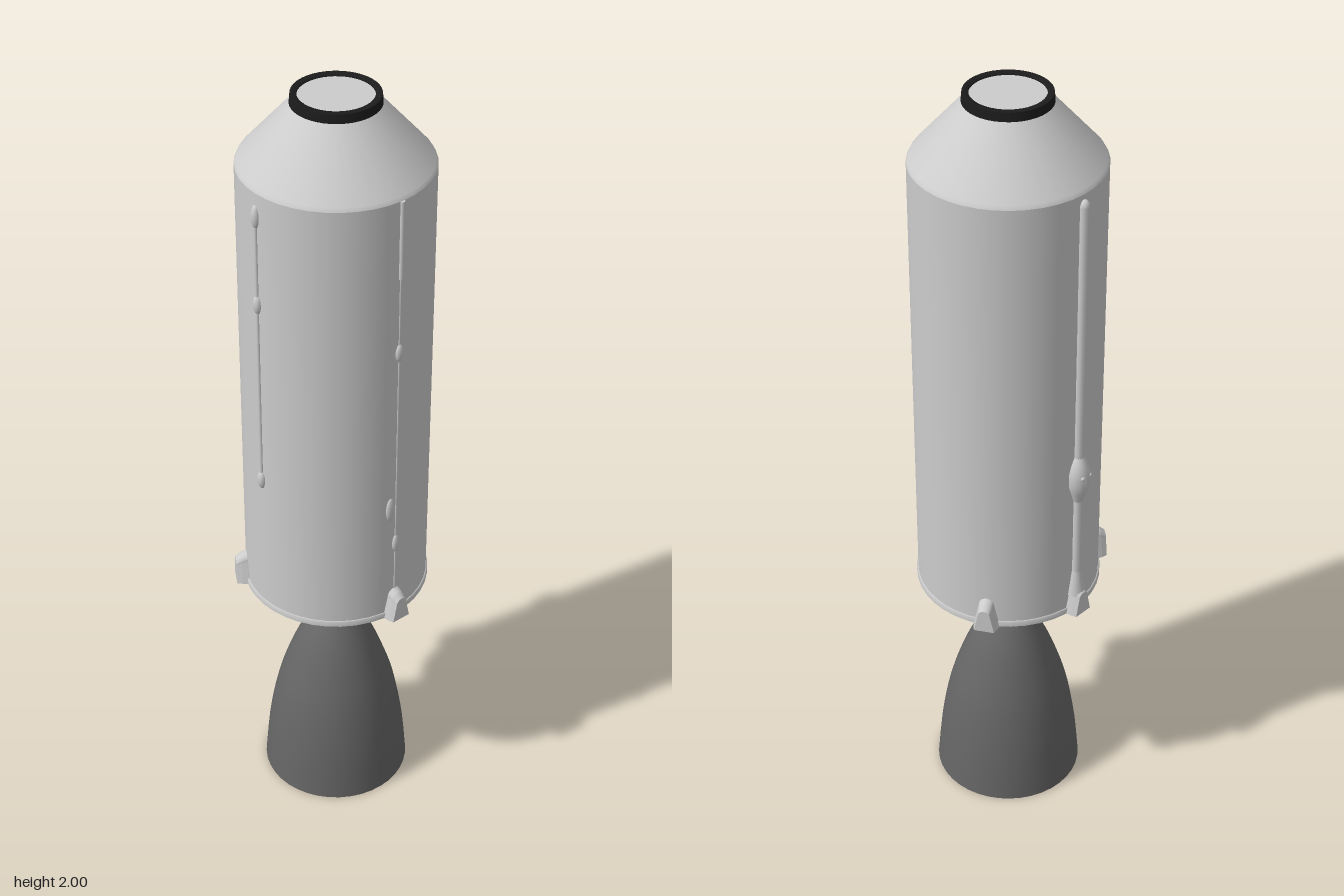
import * as THREE from 'three';

const mat = (name, color, side = THREE.FrontSide) => {
  const m = new THREE.MeshStandardMaterial({ color, side });
  m.name = name;
  return m;
};

export function createModel() {
  const root = new THREE.Group();
  root.name = 'rocketStage';
  const hull = mat('light grey hull', 0xcccccc);
  const bell = mat('dark grey nozzle', 0x666666, THREE.DoubleSide);
  const black = mat('black collar', 0x1c1c1c);
  const R = 0.23;

  const add = (parent, name, geo, material, x = 0, y = 0, z = 0) => {
    const mesh = new THREE.Mesh(geo, material);
    mesh.name = name;
    mesh.position.set(x, y, z);
    parent.add(mesh);
    return mesh;
  };
  // Profiles are [radius, height] pairs running upwards
  const lathe = (name, pts, material, segments = 40) =>
    add(root, name, new THREE.LatheGeometry(pts.map(p => new THREE.Vector2(...p)), segments), material);

  // Tank, shoulder and top
  lathe('tankBody', [[R, 0.66], [R, 1.83]], hull);
  lathe('bottomRim', [[0.234, 0.646], [0.234, 0.66], [R, 0.661]], hull);
  lathe('shoulderCone', [[R, 1.83], [0.225, 1.84], [0.102, 1.98]], hull);
  lathe('collarSide', [[0.105, 1.978], [0.103, 2]], black);
  lathe('collarTop', [[0.103, 2], [0.088, 2], [0.088, 1.992]], black);
  const cap = add(root, 'topCap', new THREE.CircleGeometry(0.09, 32), hull, 0, 1.994, 0);
  cap.rotation.x = -Math.PI / 2;

  // Tank dome and rim underside
  lathe('tankDome', [[0, 0.583], [0.06, 0.586], [0.11, 0.593], [0.16, 0.608],
    [0.2, 0.63], [0.213, 0.646]], hull);
  lathe('rimUnderside', [[0.205, 0.646], [0.234, 0.646]], hull);

  // Engine neck and bell
  lathe('engineNeck', [[0, 0.522], [0.04, 0.522], [0.042, 0.532], [0.028, 0.542],
    [0.02, 0.56], [0.028, 0.575], [0.03, 0.595]], hull, 24);
  const curve = new THREE.SplineCurve([[0.19, 0], [0.178, 0.13], [0.157, 0.25], [0.131, 0.34],
    [0.098, 0.425], [0.06, 0.495], [0.036, 0.527]].map(p => new THREE.Vector2(...p)));
  add(root, 'engineBell', new THREE.LatheGeometry(curve.getPoints(20), 40), bell);

  // Group turned so that its local +z points out of the hull
  const sideGroup = (name, angle) => {
    const g = new THREE.Group();
    g.name = name;
    g.rotation.y = angle;
    root.add(g);
    return g;
  };

  // Arched fairings on the lower rim, narrowing outwards
  const arch = new THREE.Shape();
  arch.moveTo(-0.034, 0);
  arch.lineTo(0.034, 0);
  arch.lineTo(0.02, 0.065);
  arch.absarc(0, 0.065, 0.02, 0, Math.PI, false);
  arch.lineTo(-0.034, 0);
  const fairingGeo = new THREE.ExtrudeGeometry(arch, { depth: 0.042, bevelEnabled: false, steps: 3, curveSegments: 10 });
  const p = fairingGeo.attributes.position;
  for (let i = 0; i < p.count; i++) {
    const t = p.getZ(i) / 0.042, k = 1 - 0.25 * t * t;
    p.setXYZ(i, p.getX(i) * k, p.getY(i) * k, p.getZ(i));
  }
  fairingGeo.computeVertexNormals();
  for (const deg of [0, 120, 180, 240]) {
    const g = sideGroup('fairing' + deg, THREE.MathUtils.degToRad(deg));
    add(g, 'rimFairing', fairingGeo, hull, 0, 0.645, 0.216);
  }

  const pipe = (g, name, r, y0, y1, z) =>
    add(g, name, new THREE.CylinderGeometry(r, r, y1 - y0, 12), hull, 0, (y0 + y1) / 2, z);
  const bump = (g, name, sx, sy, sz, x, y, z) =>
    add(g, name, new THREE.SphereGeometry(1, 14, 10), hull, x, y, z).scale.set(sx, sy, sz);

  // Rear feed pipe with its bulge and flared foot
  const rear = sideGroup('rearPipe', Math.PI);
  pipe(rear, 'feedPipe', 0.013, 0.7, 1.8, 0.232);
  bump(rear, 'pipeEnd', 0.013, 0.018, 0.013, 0, 1.8, 0.232);
  const bulge = [[0.012, -0.07], [0.022, -0.04], [0.03, -0.015], [0.03, 0.02], [0.022, 0.045], [0.012, 0.065]];
  add(rear, 'pipeBulge', new THREE.LatheGeometry(bulge.map(q => new THREE.Vector2(...q)), 16), hull, 0, 1.055, 0.232);
  add(rear, 'pipeFoot', new THREE.CylinderGeometry(0.013, 0.025, 0.07, 14), hull, 0, 0.735, 0.232);
  for (const s of [-1, 1]) bump(rear, 'bulgeStud', 0.006, 0.006, 0.006, s * 0.012, 1.07, 0.257);

  // Slim conduit on the right side
  const side = sideGroup('sideConduit', -Math.PI / 2);
  pipe(side, 'slimConduit', 0.005, 1.04, 1.78, 0.23);
  for (const [y, h] of [[1.77, 0.03], [1.54, 0.026], [1.04, 0.026]])
    bump(side, 'conduitBump', 0.012, h, 0.011, 0, y, 0.229);

  // Front conduit, thicker at the top
  const front = sideGroup('frontConduit', 0);
  pipe(front, 'upperConduit', 0.006, 1.63, 1.83, 0.23);
  pipe(front, 'lowerConduit', 0.003, 0.7, 1.63, 0.229);
  bump(front, 'frontBump', 0.011, 0.024, 0.009, 0, 1.43, 0.229);
  bump(front, 'frontBump', 0.013, 0.034, 0.008, -0.017, 0.98, 0.228);
  bump(front, 'frontBump', 0.01, 0.026, 0.008, 0, 0.87, 0.229);

  root.position.set(0.001, 0, 0.003);
  const model = new THREE.Group();
  model.name = 'model';
  model.add(root);
  return model;
}
